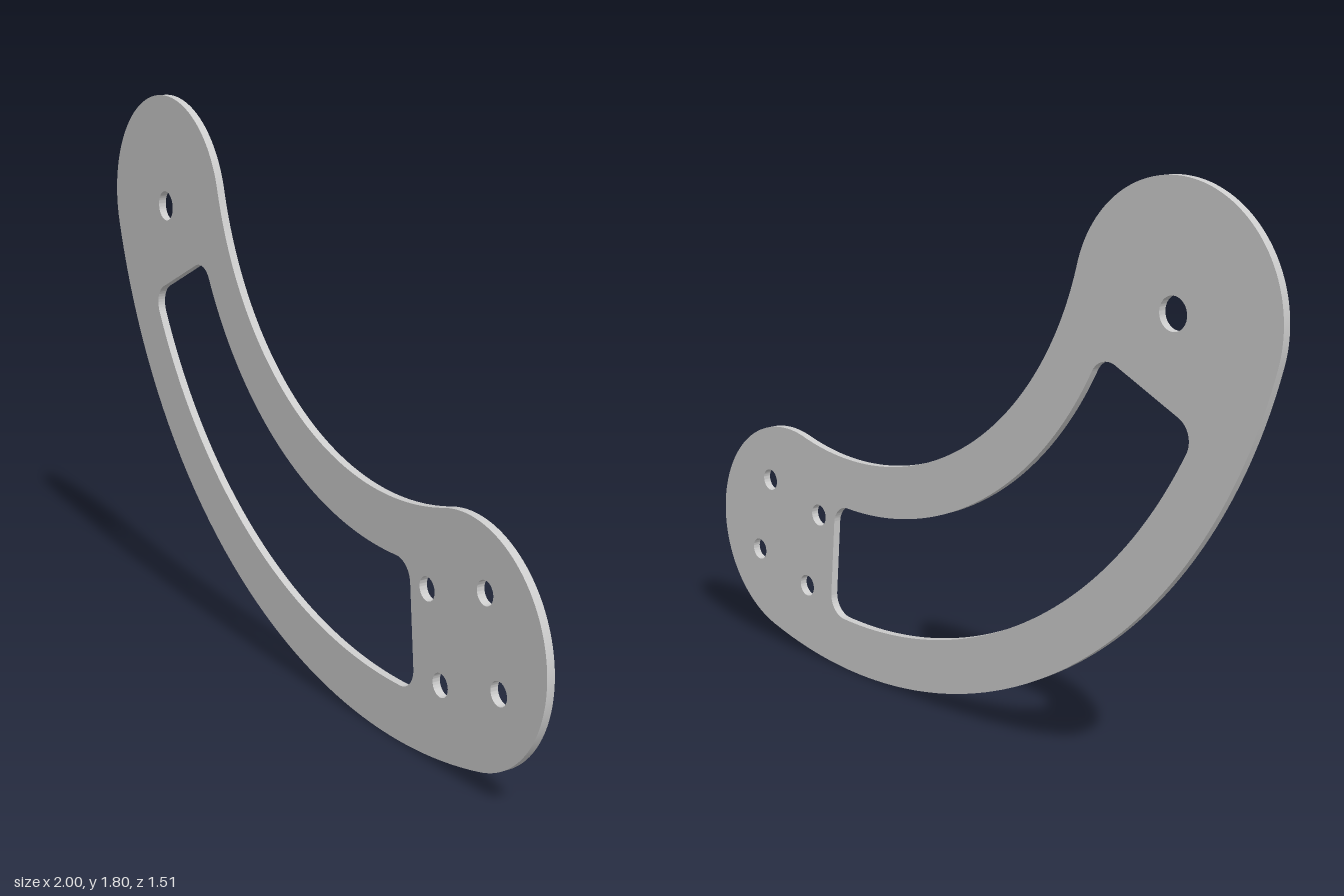
import * as THREE from 'three';
import { toCreasedNormals } from 'three/addons/utils/BufferGeometryUtils.js';

const rad = THREE.MathUtils.degToRad;

// Everything is laid out around one arc centre, in the plane of the plate
const CX = 0.502, CY = 1.795;
const MID = 1.418;            // radius of the arc's centre line
const LOBE = 0.375;           // radius of the round ends, half the band width
const START = 195, END = 285; // angles of the two round ends
const THICK = 0.026;

const polar = (r, deg) => new THREE.Vector2(CX + r * Math.cos(rad(deg)), CY + r * Math.sin(rad(deg)));

function arc(path, c, r, from, to, clockwise = false) {
  path.absarc(c.x, c.y, r, rad(from), rad(to), clockwise);
}

// Curved band with a round lobe at each end
function bandOutline() {
  const s = new THREE.Shape();
  const c = new THREE.Vector2(CX, CY);
  arc(s, c, MID + LOBE, START, END);
  arc(s, polar(MID, END), LOBE, END - 360, END - 180);
  arc(s, c, MID - LOBE, END, START, true);
  arc(s, polar(MID, START), LOBE, START - 180, START);
  return s;
}

// Curved slot with radial ends and rounded corners
function slotOutline(ri, ro, a0, a1, f) {
  const p = new THREE.Path();
  const c = new THREE.Vector2(CX, CY);
  const dOut = THREE.MathUtils.radToDeg(Math.asin(f / (ro - f)));
  const dIn = THREE.MathUtils.radToDeg(Math.asin(f / (ri + f)));
  arc(p, c, ro, a0 + dOut, a1 - dOut);
  arc(p, polar(ro - f, a1 - dOut), f, a1 - dOut, a1 + 90);
  arc(p, polar(ri + f, a1 - dIn), f, a1 + 90, a1 - dIn + 180);
  arc(p, c, ri, a1 - dIn, a0 + dIn, true);
  arc(p, polar(ri + f, a0 + dIn), f, a0 + dIn + 180, a0 + 270);
  arc(p, polar(ro - f, a0 + dOut), f, a0 - 90, a0 + dOut);
  return p;
}

function roundHole(c, r) {
  const p = new THREE.Path();
  arc(p, c, r, 0, 360);
  return p;
}

export function createModel() {
  const model = new THREE.Group();
  model.name = 'slottedArcBracket';

  const shape = bandOutline();
  shape.holes.push(slotOutline(1.215, 1.615, START + 10, END - 10, 0.07));

  // Single pivot hole in the upper lobe
  shape.holes.push(roundHole(polar(MID, START), 0.05));

  // Square pattern of four bolt holes in the lower lobe, turned with the arc
  const centre = polar(MID, END);
  for (let i = 0; i < 4; i++) {
    const a = rad(END + 45 + i * 90);
    const d = 0.14 * Math.SQRT2;
    shape.holes.push(roundHole(new THREE.Vector2(centre.x + d * Math.cos(a), centre.y + d * Math.sin(a)), 0.037));
  }

  const geometry = new THREE.ExtrudeGeometry(shape, { depth: THICK, bevelEnabled: false, curveSegments: 40 });
  geometry.translate(0, 0, -THICK / 2);

  const plate = new THREE.Mesh(
    toCreasedNormals(geometry, rad(35)),
    new THREE.MeshStandardMaterial({ color: 0xcccccc })
  );
  plate.name = 'bracketPlate';
  plate.rotation.y = -Math.atan2(0.6, 0.8); // stands diagonally
  model.add(plate);
  return model;
}
